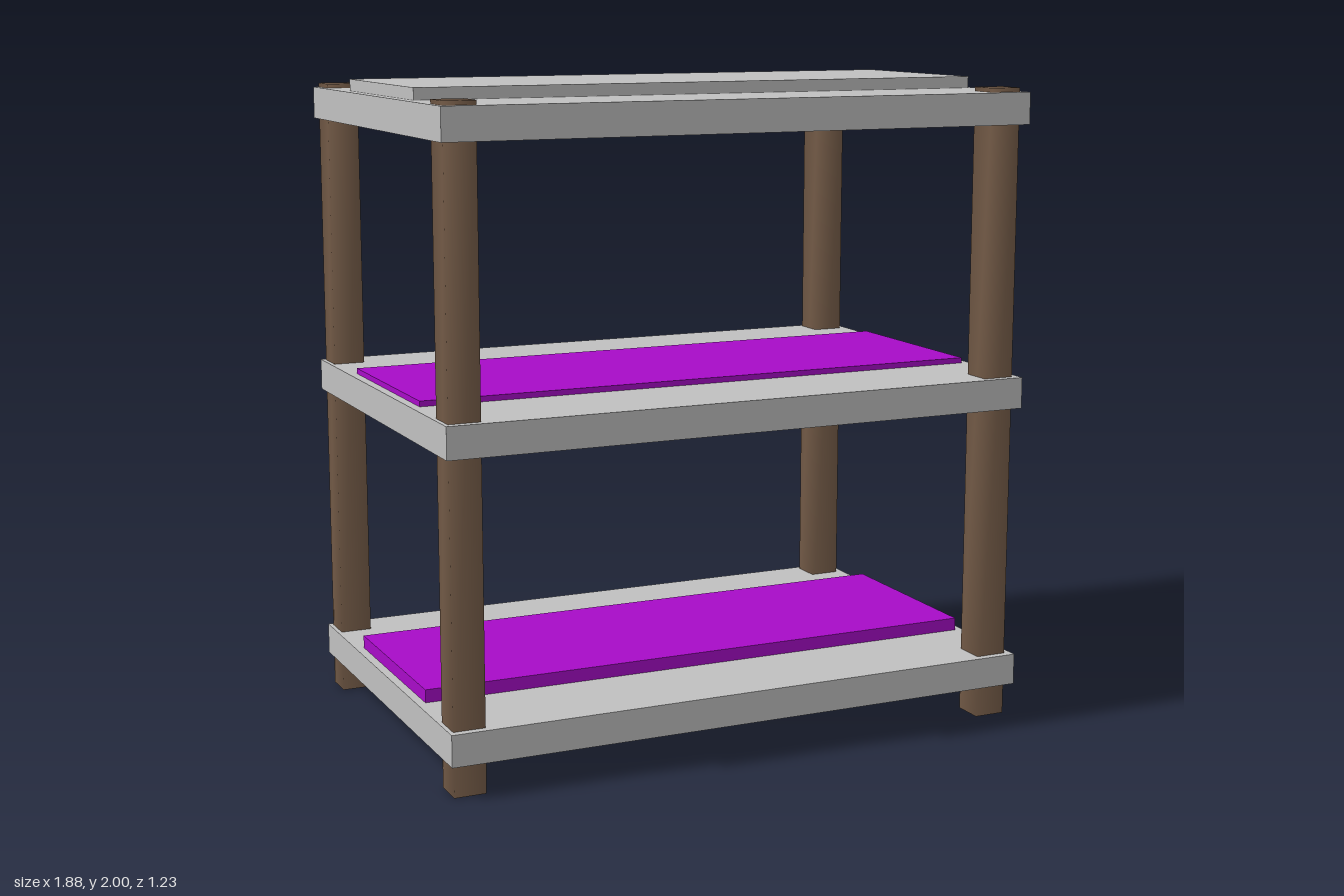
import * as THREE from 'three';
import { mergeVertices } from 'three/addons/utils/BufferGeometryUtils.js';

function material(name, color) {
  const m = new THREE.MeshStandardMaterial({ color });
  m.name = name;
  return m;
}

// Box standing on height y0 and ending at y1
function slab(name, w, d, y0, y1, mat) {
  const mesh = new THREE.Mesh(new THREE.BoxGeometry(w, y1 - y0, d), mat);
  mesh.name = name;
  mesh.position.y = (y0 + y1) / 2;
  return mesh;
}

export function createModel() {
  const group = new THREE.Group();
  group.name = 'shelfUnit';
  const grey = material('grey', 0xc0c0c0);
  const brown = material('brown', 0x755c48);
  const purple = material('purple', 0xa80cc8);

  // Three tiers, each a wide board with a thin panel laid on it
  const tiers = [
    ['lower', 0.1, 0.197, 0.237, purple],
    ['middle', 0.99, 1.087, 1.104, purple],
    ['upper', 1.866, 1.964, 2.0, grey],
  ];
  for (const [name, bottom, top, panelTop, mat] of tiers) {
    group.add(slab(name + 'Shelf', 1.88, 1.234, bottom, top, grey));
    group.add(slab(name + 'Panel', 1.826, 0.614, top - 0.01, panelTop, mat));
  }

  // Four square posts with softly shaded corners
  const height = 1.977;
  const box = new THREE.BoxGeometry(0.098, height, 0.098);
  box.deleteAttribute('normal');
  box.deleteAttribute('uv');
  const postGeometry = mergeVertices(box);
  postGeometry.computeVertexNormals();
  for (const [side, x] of [['left', 0.868], ['right', -0.878]]) {
    for (const [end, z] of [['Front', 0.544], ['Back', -0.553]]) {
      const post = new THREE.Mesh(postGeometry, brown);
      post.name = side + end + 'Post';
      post.position.set(x, height / 2, z);
      group.add(post);
    }
  }
  return group;
}
